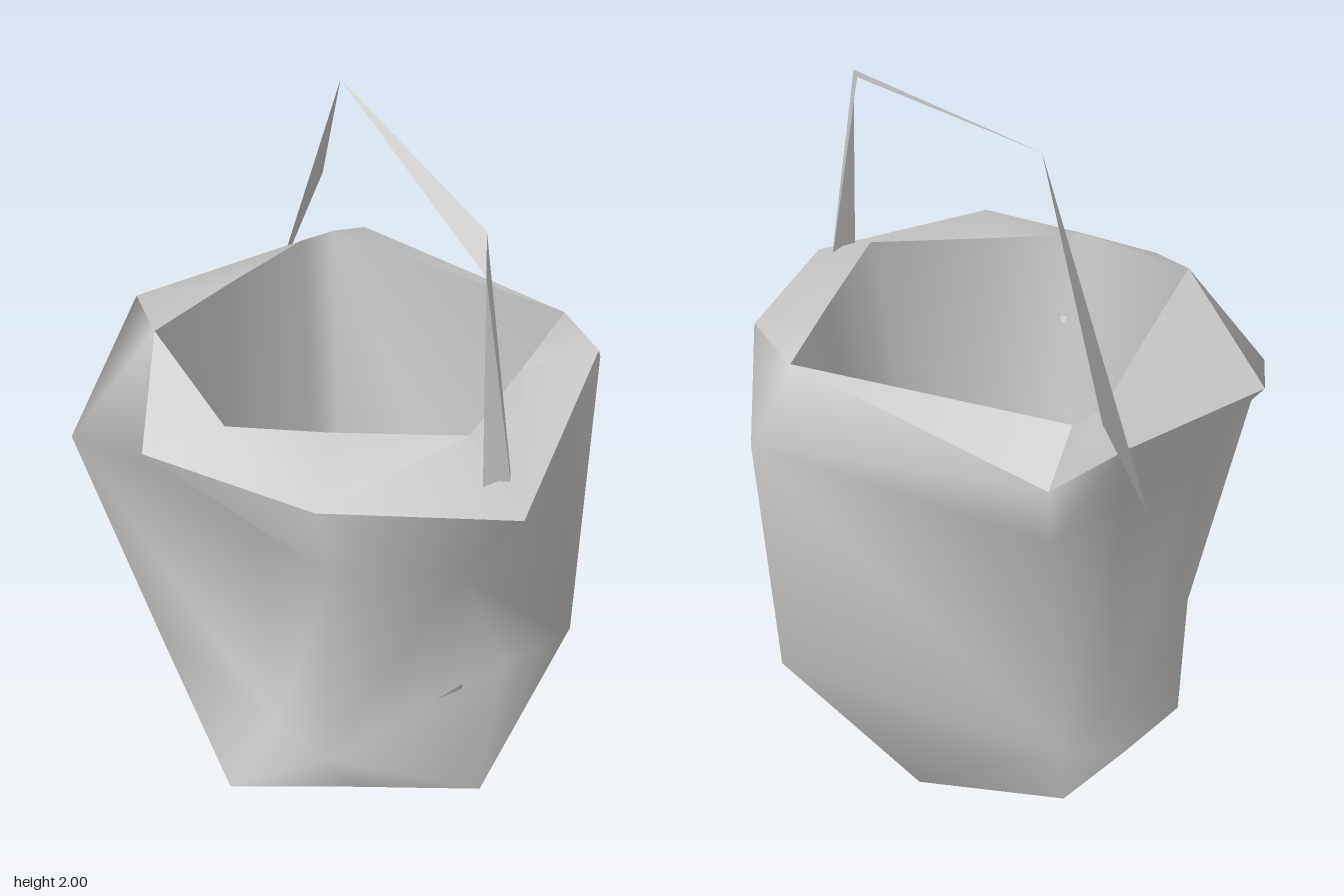
import * as THREE from 'three';
import { toCreasedNormals } from 'three/addons/utils/BufferGeometryUtils.js';

// Cross-sections, nine points each, running front, right, back, left.
const base = [[.11, .06, .59], [.33, .05, .28], [.55, .04, -.02], [.18, .03, -.26],
  [-.19, .015, -.5], [-.54, 0, -.25], [-.57, .03, 0], [-.59, .06, .23], [-.32, .04, .42]];
const waist = [[.1, .22, .41], [.335, .25, .4], [.34, .25, -.28], [.335, .22, -.54],
  [.32, .22, -.57], [-.55, .22, -.28], [-.54, .22, -.02], [-.53, .22, .23], [-.41, .22, .5]];
const shoulder = [[.1, 1.08, .46], [.45, 1.08, .44], [.66, 1.09, .18], [.47, 1.2, -.33],
  [.21, 1.16, -.7], [-.61, 1.1, -.42], [-.61, 1.09, -.15], [-.61, 1.09, .24], [-.48, 1.07, .69]];
const lip = [[-.06, 1.27, .69], [.45, 1.31, .49], [.73, 1.25, .04], [.4, 1.37, -.5],
  [.19, 1.36, -.56], [-.62, 1.29, -.45], [-.65, 1.29, -.18], [-.73, 1.27, .31], [-.34, 1.42, .47]];
const mouth = [[.07, 1.36, .51], [.25, 1.36, .31], [.49, 1.37, .03], [.33, 1.365, -.29],
  [.19, 1.36, -.56], [-.55, 1.37, -.28], [-.56, 1.37, -.17], [-.45, 1.4, .15], [-.34, 1.42, .47]];
const floor = [[0, .22, .34], [.24, .22, .31], [.33, .22, .05], [.34, .22, -.11],
  [0, .22, -.45], [-.42, .22, -.2], [-.41, .22, -.1], [-.39, .22, .13], [-.37, .22, .36]];

const SMOOTH = Math.PI, FLAT = 0.3;
const material = new THREE.MeshStandardMaterial({ color: 0xcccccc, side: THREE.DoubleSide });

function part(name, triangles, crease) {
  const geometry = new THREE.BufferGeometry();
  geometry.setAttribute('position', new THREE.Float32BufferAttribute(triangles.flat(), 3));
  const mesh = new THREE.Mesh(toCreasedNormals(geometry, crease), material);
  mesh.name = name;
  return mesh;
}

// Distance of an edge's midpoint from the vertical axis.
const reach = (p, q) => Math.hypot(p[0] + q[0], p[2] + q[2]);

// Skin a stack of closed rings, splitting each quad along its outer diagonal.
function loft(name, rings, crease) {
  const triangles = [];
  for (let r = 0; r < rings.length - 1; r++) {
    const a = rings[r], b = rings[r + 1], n = a.length;
    for (let i = 0; i < n; i++) {
      const j = (i + 1) % n;
      triangles.push(...(reach(a[i], b[j]) > reach(a[j], b[i])
        ? [a[i], a[j], b[j], a[i], b[j], b[i]]
        : [a[i], a[j], b[i], a[j], b[j], b[i]]));
    }
  }
  return part(name, triangles, crease);
}

// Fill a ring with a fan from its middle.
function cap(name, ring, faceUp) {
  const middle = [0, 1, 2].map(k => ring.reduce((sum, p) => sum + p[k], 0) / ring.length);
  const triangles = [];
  ring.forEach((p, i) => {
    const q = ring[(i + 1) % ring.length];
    triangles.push(...(faceUp ? [p, q, middle] : [q, p, middle]));
  });
  return part(name, triangles, FLAT);
}

export function createModel() {
  const model = new THREE.Group();
  model.name = 'bucket';
  model.add(
    cap('underside', base, false),
    loft('outerWall', [base, waist, shoulder, lip], SMOOTH),
    loft('rim', [lip, mouth], 0.5),
    loft('innerWall', [mouth, floor], SMOOTH),
    cap('innerFloor', floor, true),
  );

  // Thin bent ribbon handle
  const apex = [-.32, 2, -.15];
  const bendBack = [.44, 1.93, -.04], bendFront = [.55, 1.89, .05];
  const footBack = [.645, 1.15, -.01], footFront = [.63, 1.11, .09];
  const handle = new THREE.Group();
  handle.name = 'handle';
  handle.add(
    part('handleRightLeg', [apex, [-.7, 1.48, -.35], [-.73, 1.12, -.18]], FLAT),
    part('handleTop', [apex, bendFront, bendBack], FLAT),
    part('handleLeftLeg', [bendFront, footFront, footBack, bendFront, footBack, bendBack], FLAT),
  );
  model.add(handle);
  return model;
}
